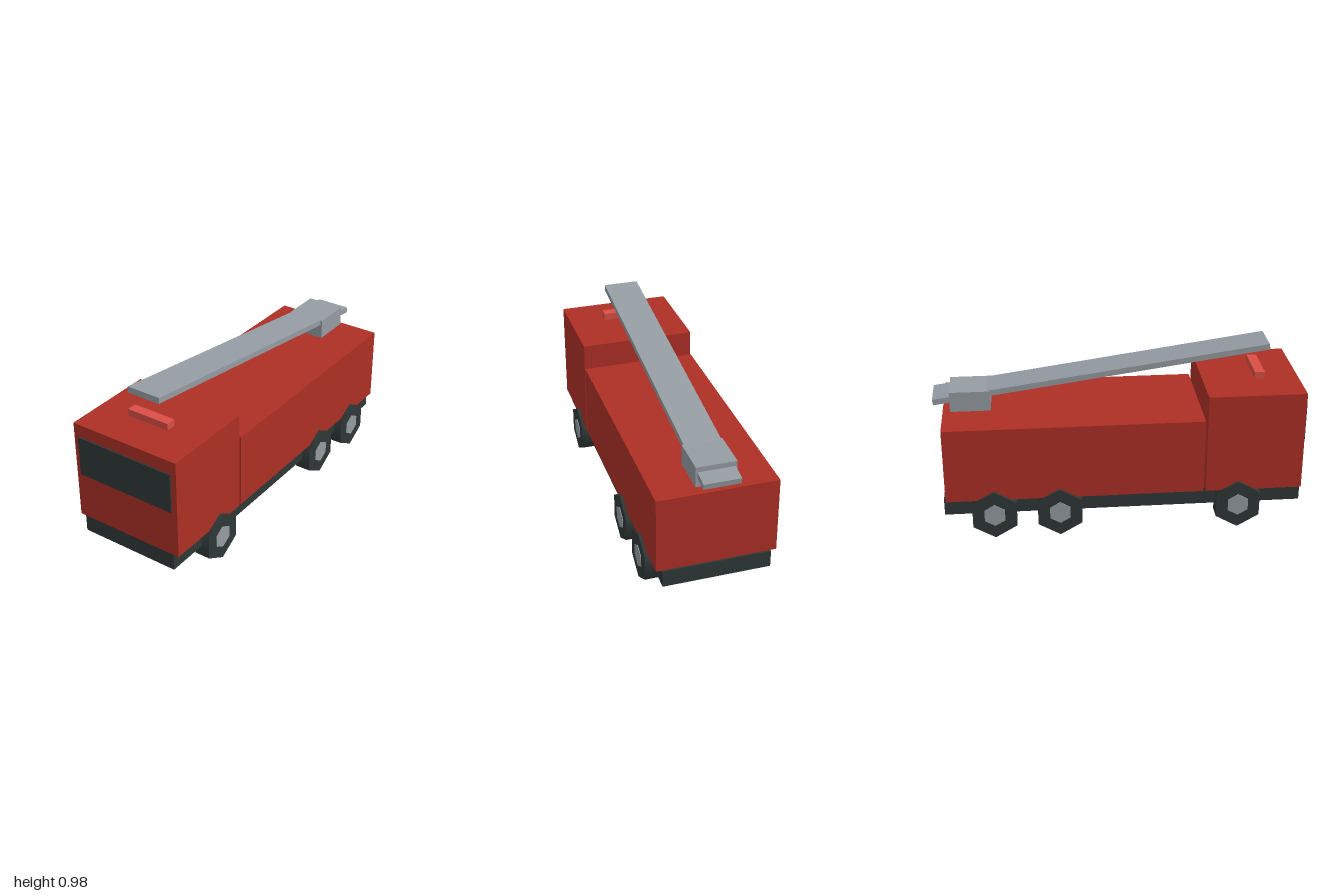
import * as THREE from 'three';

const mat = (name, color) => {
  const m = new THREE.MeshStandardMaterial({ color });
  m.name = name;
  return m;
};

export function createModel() {
  const red = mat('red paint', 0xae2f25);
  const dark = mat('dark rubber and glass', 0x2f3737);
  const grey = mat('grey metal', 0x959ca3);
  const lamp = mat('light red lamp', 0xd94f45);

  const truck = new THREE.Group();
  truck.name = 'ladderTruck';

  // Box given by its half width and its y and z ranges
  const box = (name, material, halfX, y0, y1, z0, z1) => {
    const mesh = new THREE.Mesh(new THREE.BoxGeometry(halfX * 2, y1 - y0, z1 - z0), material);
    mesh.position.set(0, (y0 + y1) / 2, (z0 + z1) / 2);
    mesh.name = name;
    truck.add(mesh);
    return mesh;
  };

  // Chassis and bodywork
  box('chassis', dark, 0.288, 0.13, 0.224, -0.96, 0.99);
  box('cab', red, 0.32, 0.224, 0.784, 0.462, 0.99);
  box('rearBody', red, 0.32, 0.224, 0.645, -0.95, 0.45);
  box('windshield', dark, 0.289, 0.49, 0.712, 0.991, 1.0);
  box('lightBar', lamp, 0.124, 0.797, 0.835, 0.742, 0.797);

  // Turntable and the ladder rising toward the front
  box('turntable', grey, 0.107, 0.659, 0.771, -0.908, -0.688);
  const ladder = box('ladder', grey, 0.098, 0.826, 0.858, -1.0065, 0.8315);
  ladder.rotation.x = -0.1396;

  // Six-sided wheels with hubs that stand slightly proud on both sides
  const tyreGeo = new THREE.CylinderGeometry(0.138, 0.138, 0.09, 6).rotateZ(Math.PI / 2);
  const hubGeo = new THREE.CylinderGeometry(0.064, 0.064, 0.098, 6).rotateZ(Math.PI / 2);
  // Turn a corner of each hexagon straight down
  for (const geo of [tyreGeo, hubGeo]) geo.rotateX(Math.PI / 2);
  for (const side of [1, -1]) {
    for (const z of [0.64, -0.336, -0.69]) {
      const wheel = new THREE.Group();
      wheel.name = side > 0 ? 'leftWheel' : 'rightWheel';
      const tyre = new THREE.Mesh(tyreGeo, dark);
      tyre.name = 'tyre';
      const hub = new THREE.Mesh(hubGeo, grey);
      hub.name = 'hub';
      wheel.add(tyre, hub);
      wheel.position.set(side * 0.292, 0.14, z);
      truck.add(wheel);
    }
  }
  return truck;
}
